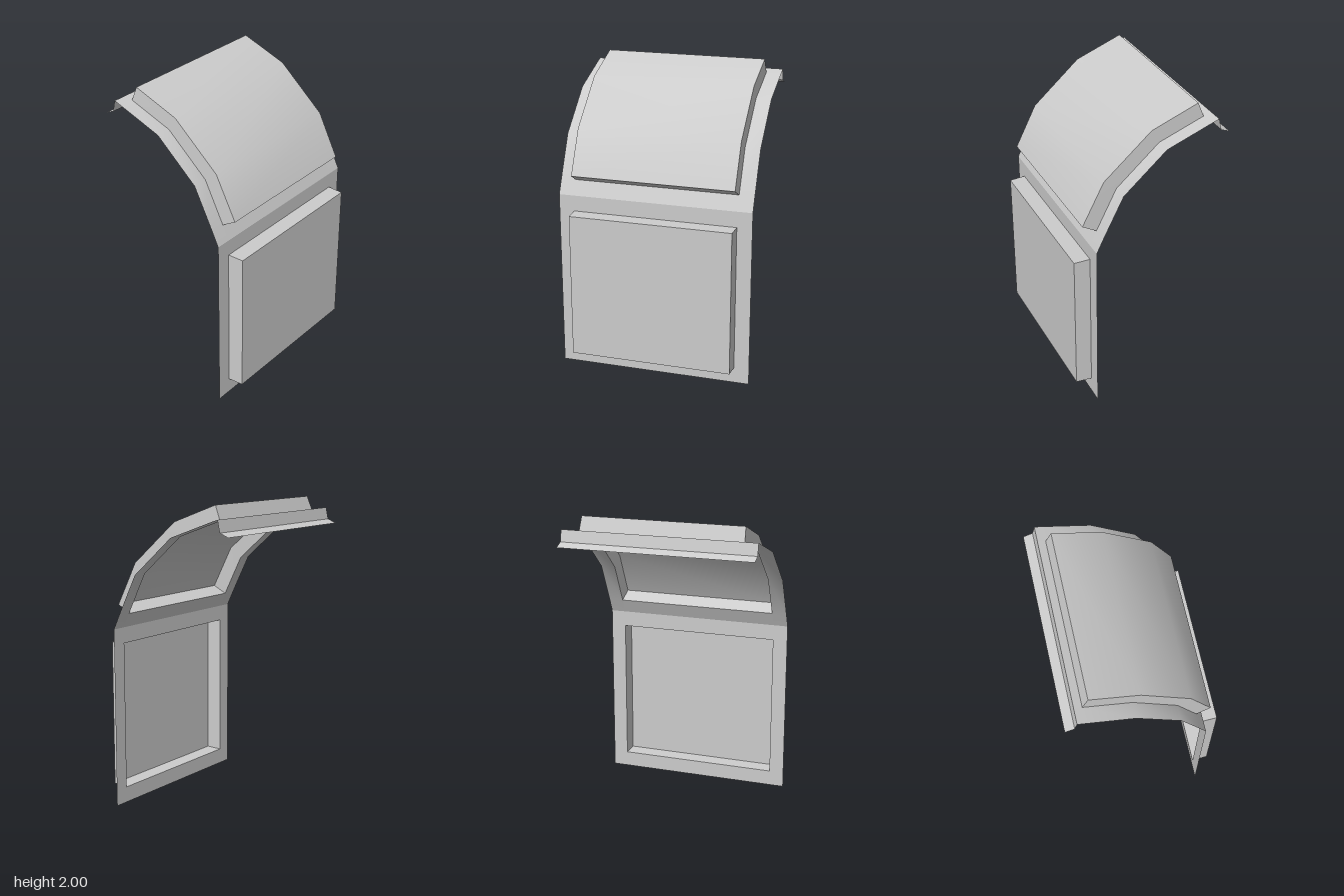
import * as THREE from 'three';
import { mergeGeometries } from 'three/addons/utils/BufferGeometryUtils.js';

const HALF = 0.643;   // half width of the sheet
const INNER = 0.543;  // half width of a panel where it meets the sheet
const OUTER = 0.538;  // half width of a panel at its raised face

const at = (profile, z) => profile.map(([x, y]) => [x, y, z]);

// Surface spanned between a left-hand and a right-hand row of points
function strip(left, right) {
  const n = left.length, index = [];
  for (let i = 0; i < n - 1; i++) {
    index.push(i, n + i, n + i + 1, i, n + i + 1, i + 1);
  }
  const g = new THREE.BufferGeometry();
  g.setAttribute('position', new THREE.Float32BufferAttribute([...left, ...right].flat(), 3));
  g.setIndex(index);
  g.computeVertexNormals();
  return g;
}

// Profile in the xy plane swept across z
const ribbon = (profile, z0, z1) => strip(at(profile, z1), at(profile, z0));

function addMesh(group, name, geometries) {
  const material = new THREE.MeshStandardMaterial({ color: 0xcccccc, side: THREE.DoubleSide });
  const mesh = new THREE.Mesh(mergeGeometries(geometries), material);
  mesh.name = name;
  group.add(mesh);
}

// Raised panel, open at the back: face, two side walls, two end walls
function addPanel(group, name, inner, outer) {
  const panel = new THREE.Group();
  panel.name = name;
  const iL = at(inner, INNER), iR = at(inner, -INNER);
  const oL = at(outer, OUTER), oR = at(outer, -OUTER);
  const e = inner.length - 1;
  addMesh(panel, name + 'Face', [strip(oL, oR)]);
  addMesh(panel, name + 'Walls', [
    strip(iL, oL),
    strip(oR, iR),
    strip([iL[0], oL[0]], [iR[0], oR[0]]),
    strip([oL[e], iL[e]], [oR[e], iR[e]]),
  ]);
  group.add(panel);
}

// Sheet section with an opening between the first and last inner points
function framed(start, inner, end) {
  const full = [start, ...inner, end];
  return [
    ribbon(full, INNER, HALF),
    ribbon(full, -HALF, -INNER),
    ribbon([start, inner[0]], -INNER, INNER),
    ribbon([inner[inner.length - 1], end], -INNER, INNER),
  ];
}

export function createModel() {
  const group = new THREE.Group();
  group.name = 'foldedPanel';

  // Upright section
  const bend = [0.387, 1.185];
  const doorInner = [[0.387, 0.105], [0.387, 1.08]];
  const doorOuter = [[0.493, 0.11], [0.493, 1.078]];
  addMesh(group, 'uprightSheet', framed([0.387, 0], doorInner, bend));
  addPanel(group, 'uprightPanel', doorInner, doorOuter);

  // Arched section
  const crest = [-0.423, 1.922];
  const archInner = [[0.342, 1.28], [0.208, 1.548], [-0.075, 1.797], [-0.373, 1.905]];
  const archOuter = [[0.433, 1.33], [0.29, 1.61], [-0.025, 1.885], [-0.335, 2]];
  addMesh(group, 'archSheet', framed(bend, archInner, crest));
  addPanel(group, 'archPanel', archInner, archOuter);

  // Folded lip along the top edge
  const fold = [-0.44, 1.845], tip = [-0.5, 1.82];
  addMesh(group, 'lip', [ribbon([crest, fold], -HALF, HALF), ribbon([fold, tip], -HALF, HALF)]);

  return group;
}
